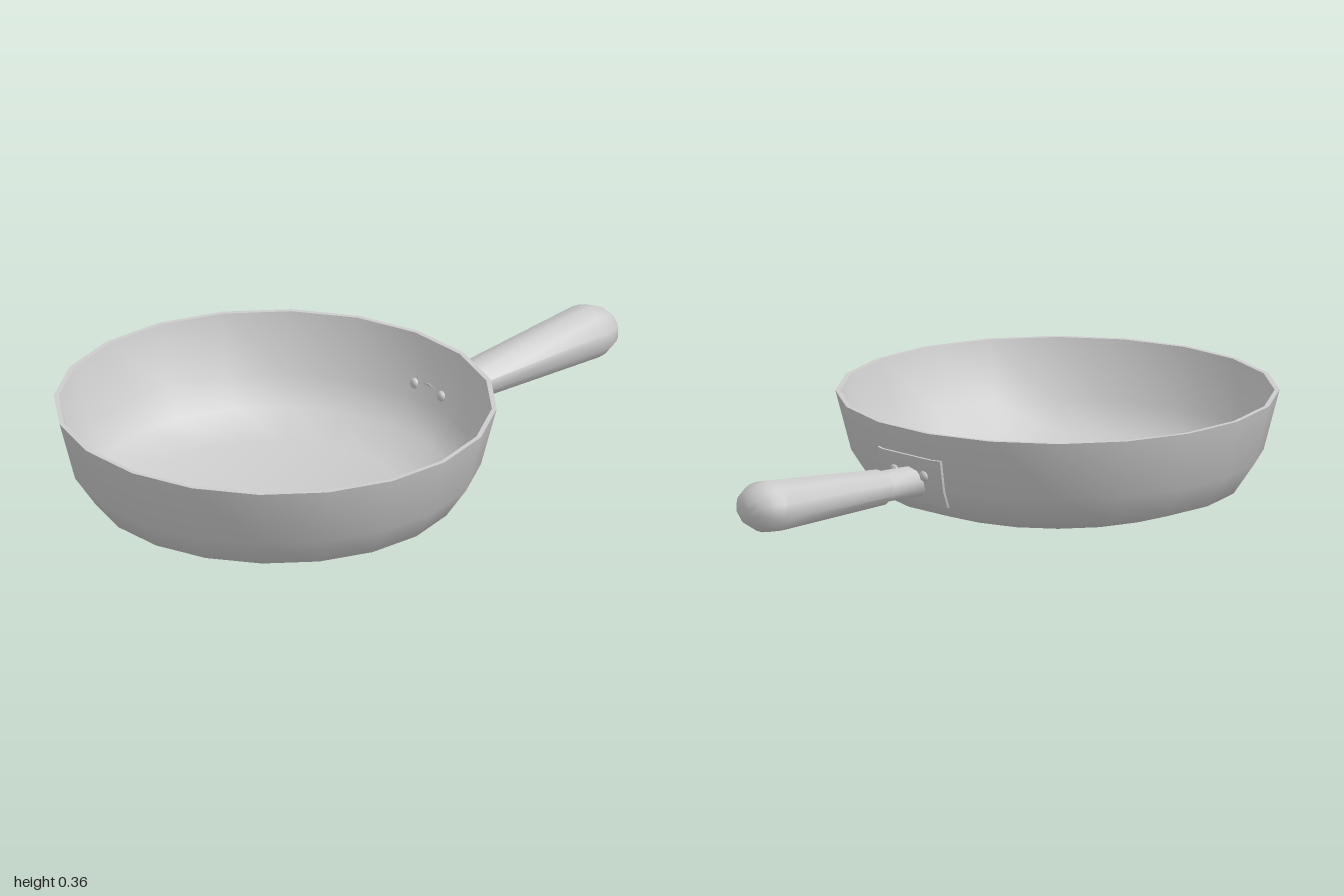
import * as THREE from 'three';
import { toCreasedNormals } from 'three/addons/utils/BufferGeometryUtils.js';

const PAN_X = -0.338;
const SIDES = 20;
const STEP = (Math.PI * 2) / SIDES;
const WALL = 0.016;

// Pan outside as [radius, height], from the centre of the base to the rim
const OUTER = [[0, 0.003], [0.405, 0.035], [0.557, 0.085], [0.622, 0.18], [0.67, 0.365]];
const INNER = [[0.655, 0.365], [0.605, 0.183], [0.543, 0.097], [0.4, 0.051], [0, 0.02]];

const vectors = (points) => points.map(([r, y]) => new THREE.Vector2(r, y));

// Outer radius of the pan at a height
function radiusAt(y) {
  for (let i = 1; i < OUTER.length; i++) {
    const [r0, y0] = OUTER[i - 1];
    const [r1, y1] = OUTER[i];
    if (y <= y1) return r0 + ((r1 - r0) * (y - y0)) / (y1 - y0);
  }
  return 0.67;
}

// x of the faceted pan wall on the handle side
function wallX(y, z) {
  const flat = radiusAt(y) * Math.cos(STEP / 2);
  return PAN_X + Math.min(flat, (flat - Math.abs(z) * Math.sin(STEP)) / Math.cos(STEP));
}

// Ten-sided turned part lying along +x, slightly flattened in height
function turned(profile, flatten) {
  const geo = new THREE.LatheGeometry(vectors(profile), 10, Math.PI / 10);
  geo.rotateZ(-Math.PI / 2);
  geo.scale(1, flatten, 1);
  return toCreasedNormals(geo, 0.8);
}

export function createModel() {
  const group = new THREE.Group();
  const material = new THREE.MeshStandardMaterial({ color: 0xcccccc });
  const add = (name, geo, parent = group) => {
    const mesh = new THREE.Mesh(geo, material);
    mesh.name = name;
    parent.add(mesh);
    return mesh;
  };

  // Pan body with inner and outer wall
  const panGeo = new THREE.LatheGeometry(vectors([...OUTER, ...INNER]), SIDES, STEP / 2);
  add('pan', toCreasedNormals(panGeo, 0.8)).position.x = PAN_X;

  // Mounting plate: a box bent onto the pan wall, narrower at the bottom
  const rows = [[0.12, 0.105], [0.18, 0.123], [0.28, 0.133]];
  const plateGeo = new THREE.BoxGeometry(1, 2, 3, 1, 2, 3);
  const pos = plateGeo.attributes.position;
  for (let i = 0; i < pos.count; i++) {
    const [y, half] = rows[Math.round(pos.getY(i)) + 1];
    const side = pos.getZ(i);
    const z = Math.sign(side) * (Math.abs(side) > 1 ? half : radiusAt(y) * Math.sin(STEP / 2));
    pos.setXYZ(i, wallX(y, z) + (pos.getX(i) > 0 ? 0.009 : -0.006), y, z);
  }
  add('mountingPlate', toCreasedNormals(plateGeo, 0.8));

  // Handle, tilted slightly upward
  const handle = new THREE.Group();
  handle.name = 'handle';
  handle.position.set(0.43, 0.2, 0);
  handle.rotation.z = 0.053;
  group.add(handle);

  add('stem', turned([[0, -0.155], [0.057, -0.155], [0.057, 0.02], [0, 0.02]], 0.86), handle);

  // Grip flares toward a rounded end
  const grip = [[0, 0], [0.066, 0], [0.07, 0.008]];
  for (let i = 0; i <= 6; i++) {
    const a = (i / 6) * (Math.PI / 2);
    grip.push([i === 6 ? 0 : 0.1 * Math.cos(a), 0.47 + 0.1 * Math.sin(a)]);
  }
  add('grip', turned(grip, 0.8), handle);

  // Rivet heads on both sides of the wall
  for (const z of [-0.062, 0.062]) {
    const y = 0.222;
    const x = wallX(y, z);
    for (const [name, offset] of [['innerRivet', -WALL], ['outerRivet', 0.009]]) {
      const rivet = add(name, new THREE.SphereGeometry(0.017, 10, 8));
      rivet.scale.x = 0.7;
      rivet.position.set(x + offset, y, z);
    }
  }

  return group;
}
